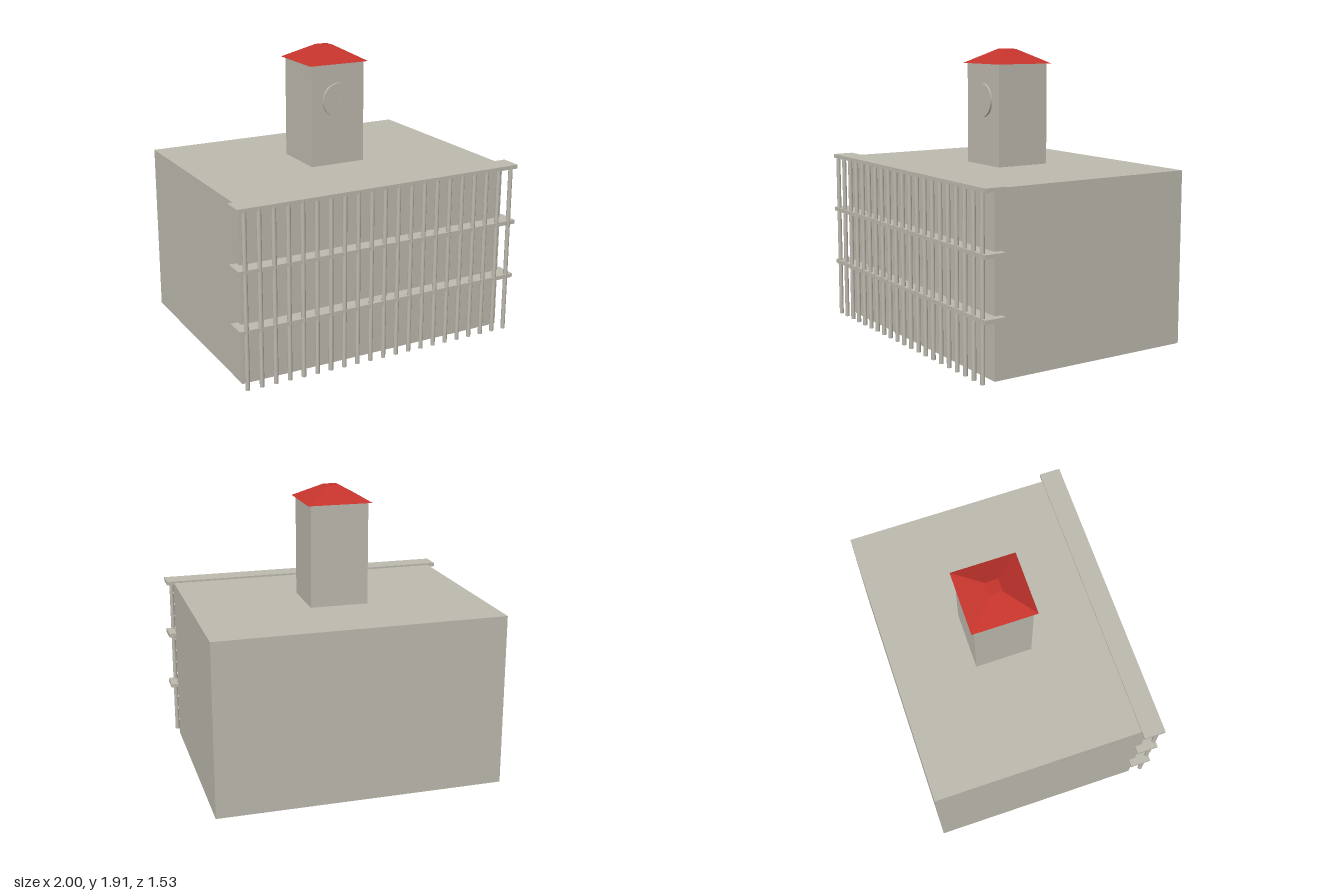
import * as THREE from 'three';

export function createModel() {
  const model = new THREE.Group();
  model.name = 'clockTowerBuilding';

  const stone = new THREE.MeshStandardMaterial({ color: 0xbdb9ae });
  stone.name = 'warm grey stone';
  const red = new THREE.MeshStandardMaterial({ color: 0xc4342c });
  red.name = 'red roof';

  const add = (name, geometry, material, x, y, z, parent = model) => {
    const mesh = new THREE.Mesh(geometry, material);
    mesh.name = name;
    mesh.position.set(x, y, z);
    parent.add(mesh);
    return mesh;
  };

  // Main hall
  const hallTop = 1.143;
  add('hall', new THREE.BoxGeometry(1.9, hallTop, 1.432), stone, 0, hallTop / 2, -0.05);

  // Three gallery slabs across the front
  const facade = new THREE.Group();
  facade.name = 'facade';
  model.add(facade);
  const slab = new THREE.BoxGeometry(2, 0.026, 0.142);
  for (let i = 1; i <= 3; i++) {
    add('gallerySlab', slab, stone, 0, i * 0.381, 0.693, facade);
  }

  // Row of slender round columns just proud of the slab edges
  const columns = 21;
  const column = new THREE.CylinderGeometry(0.0143, 0.0143, hallTop, 16);
  for (let i = 0; i < columns; i++) {
    const x = -0.953 + (i * 1.906) / (columns - 1);
    add('column', column, stone, x, hallTop / 2, 0.752, facade);
  }

  // Square tower
  const towerZ = -0.05, towerTop = 1.812;
  add('tower', new THREE.BoxGeometry(0.382, towerTop - hallTop, 0.38), stone,
    0, (hallTop + towerTop) / 2, towerZ);

  // Hipped roof with a small flat top: a four-sided frustum turned square
  const roof = new THREE.CylinderGeometry(0.043 * Math.SQRT2, 0.212 * Math.SQRT2, 0.095, 4)
    .rotateY(Math.PI / 4).toNonIndexed();
  roof.computeVertexNormals();
  add('towerRoof', roof, red, 0, towerTop + 0.0475, towerZ);

  // Clock face and its hub
  const clock = new THREE.Group();
  clock.name = 'clock';
  clock.position.set(0, 1.573, 0.14);
  model.add(clock);
  const disc = new THREE.CylinderGeometry(0.113, 0.113, 0.014, 48).rotateX(Math.PI / 2);
  add('clockFace', disc, stone, 0, 0, 0.007, clock);
  add('clockHub', new THREE.BoxGeometry(0.012, 0.026, 0.008), stone, 0, 0, 0.017, clock);

  return model;
}
